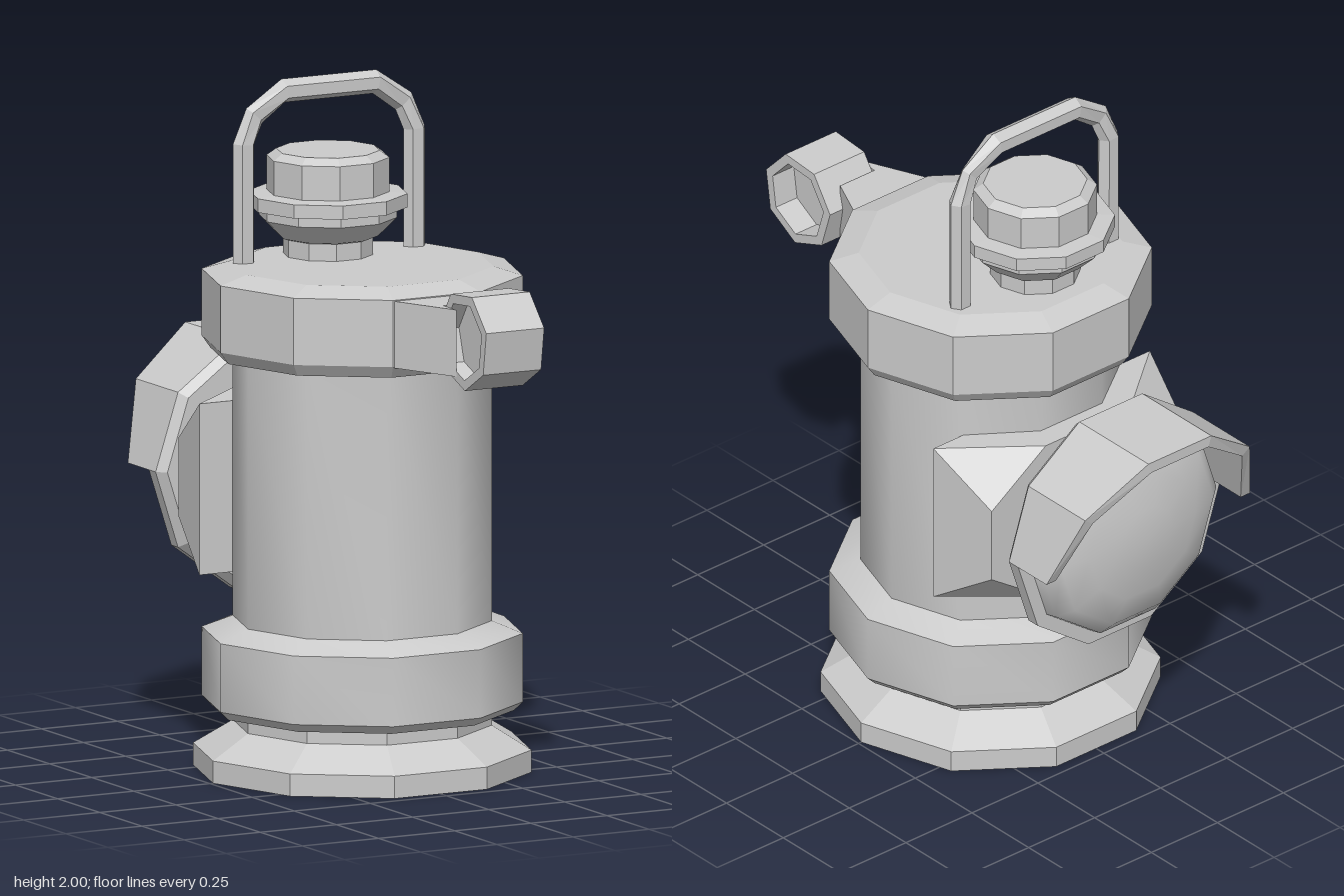
import * as THREE from 'three';
import { toCreasedNormals } from 'three/addons/utils/BufferGeometryUtils.js';

const SIDES = 10;
const LAMP_Y = 0.815;
const material = new THREE.MeshStandardMaterial({ color: 0xcccccc, side: THREE.DoubleSide });

// Faceted or softly creased mesh
function part(name, geometry, crease = 0.01) {
  const mesh = new THREE.Mesh(toCreasedNormals(geometry, crease), material);
  mesh.name = name;
  return mesh;
}

// Turned part from [radius, height] pairs, first corner on +x
function turned(profile, sides = SIDES, start = Math.PI / 2) {
  return new THREE.LatheGeometry(profile.map(([r, y]) => new THREE.Vector2(r, y)), sides, start);
}

// Solid skin through matching closed rings of points
function loft(rings) {
  const n = rings[0].length, last = (rings.length - 1) * n, index = [];
  for (let i = 0; i < rings.length - 1; i++) {
    for (let j = 0; j < n; j++) {
      const a = i * n + j, b = i * n + (j + 1) % n;
      index.push(a, b, b + n, a, b + n, a + n);
    }
  }
  for (let j = 1; j < n - 1; j++) index.push(0, j + 1, j, last, last + j, last + j + 1);
  const g = new THREE.BufferGeometry();
  g.setAttribute('position', new THREE.Float32BufferAttribute(rings.flat(2), 3));
  g.setIndex(index);
  return g.toNonIndexed();
}

// Lamp parts are turned about the z axis, depth pointing backwards
function lampTurned(profile) {
  return turned(profile).rotateX(-Math.PI / 2).translate(0, LAMP_Y, 0);
}

function createHandle() {
  const half = [[0.28, 1.45], [0.28, 1.82], [0.245, 1.9], [0.15, 1.965]];
  const path = [...half, ...half.slice().reverse().map(([x, y]) => [-x, y])];
  const thick = [0.03, 0.03, 0.02, 0.035];
  const rings = path.map(([x, y], i) => {
    const p = path[Math.max(i - 1, 0)], q = path[Math.min(i + 1, path.length - 1)];
    const t = new THREE.Vector2(q[0] - p[0], q[1] - p[1]).normalize();
    const w = thick[Math.min(i, path.length - 1 - i)];
    return Array.from({ length: 6 }, (_, k) => {
      const a = k * Math.PI / 3, u = 0.035 * Math.cos(a);
      return [x - 0.01 - t.y * u, y + t.x * u, -0.18 + w * Math.sin(a)];
    });
  });
  return part('carryHandle', loft(rings));
}

function createLampMount() {
  // Rectangle against the body blending to an octagon at the lamp
  const quarter = [[1, -1], [1, 1], [-1, 1], [-1, -1]];
  const octagon = [], rect = [];
  quarter.forEach(([sx, sy], i) => {
    const side = [sx * 0.365, LAMP_Y + sy * 0.115, -0.43];
    const flat = [sx * 0.16, LAMP_Y + sy * 0.255, -0.43];
    octagon.push(...(i % 2 ? [side, flat] : [flat, side]));
    const corner = [sx * 0.41, LAMP_Y + sy * 0.25, -0.225];
    rect.push(corner, corner);
  });
  return part('lampMount', loft([octagon, rect]));
}

function createVisor() {
  // Half-ring hood, longest at its crown
  const reach = [0.695, 0.78, 0.835, 0.835, 0.78, 0.695];
  const rings = reach.map((d, i) => {
    const a = i * Math.PI / 5;
    return [[0.385, 0.54], [0.385, d], [0.35, d], [0.35, 0.54]].map(([r, z]) =>
      [r * Math.cos(a), LAMP_Y + r * Math.sin(a), -z]);
  });
  return part('lampVisor', loft(rings));
}

export function createModel() {
  const model = new THREE.Group();
  model.name = 'lantern';

  // Foot, bumper ring, body and lid
  model.add(part('foot', turned([[0, 0], [0.49, 0], [0.49, 0.065], [0.375, 0.135], [0.375, 0.19]])));
  model.add(part('bumperRing', turned([
    [0.37, 0.18], [0.44, 0.18], [0.465, 0.205], [0.465, 0.405], [0.375, 0.44]]), 0.66));
  model.add(part('body', turned([[0.375, 0.43], [0.375, 1.23]]), 0.66));
  model.add(part('lid', turned([
    [0.37, 1.22], [0.44, 1.22], [0.465, 1.255], [0.465, 1.45], [0.38, 1.475], [0, 1.475]])));

  // Filler knob on the lid
  const knob = turned([
    [0.13, 1.46], [0.13, 1.525], [0.145, 1.53], [0.2, 1.585], [0.2, 1.615], [0.23, 1.615],
    [0.23, 1.655], [0.178, 1.66], [0.178, 1.76], [0.15, 1.78], [0, 1.78]]);
  model.add(part('knob', knob.translate(-0.01, 0, -0.185)));
  model.add(createHandle());

  // Front arm carrying a seven-sided socket
  const arm = new THREE.Shape([
    [-0.14, 0.3], [0.14, 0.3], [0.14, 0.44], [0.08, 0.57], [-0.05, 0.57], [-0.05, 0.65], [-0.14, 0.44],
  ].map(([x, z]) => new THREE.Vector2(x, z)));
  const armGeometry = new THREE.ExtrudeGeometry(arm, { depth: 0.195, bevelEnabled: false });
  model.add(part('frontArm', armGeometry.rotateX(Math.PI / 2).translate(0, 1.447, 0)));
  const socket = turned([
    [0, 0], [0.115, 0], [0.115, -0.05], [0.145, -0.05],
    [0.145, 0.14], [0.115, 0.14], [0.115, 0.06], [0, 0.06]], 7, Math.PI + 0.147);
  model.add(part('frontSocket', socket.rotateZ(-Math.PI / 2).translate(0, 1.363, 0.688)));

  // Lamp on the back
  const lamp = new THREE.Group();
  lamp.name = 'lamp';
  lamp.add(createLampMount());
  lamp.add(part('lampHousing', lampTurned([
    [0.26, 0.42], [0.285, 0.505], [0.36, 0.505], [0.385, 0.53], [0.385, 0.57], [0.33, 0.57]])));
  lamp.add(part('lens', lampTurned([
    [0.345, 0.56], [0.335, 0.605], [0.29, 0.645], [0.2, 0.67], [0.1, 0.688], [0, 0.695]]), 1));
  lamp.add(createVisor());
  model.add(lamp);
  return model;
}
